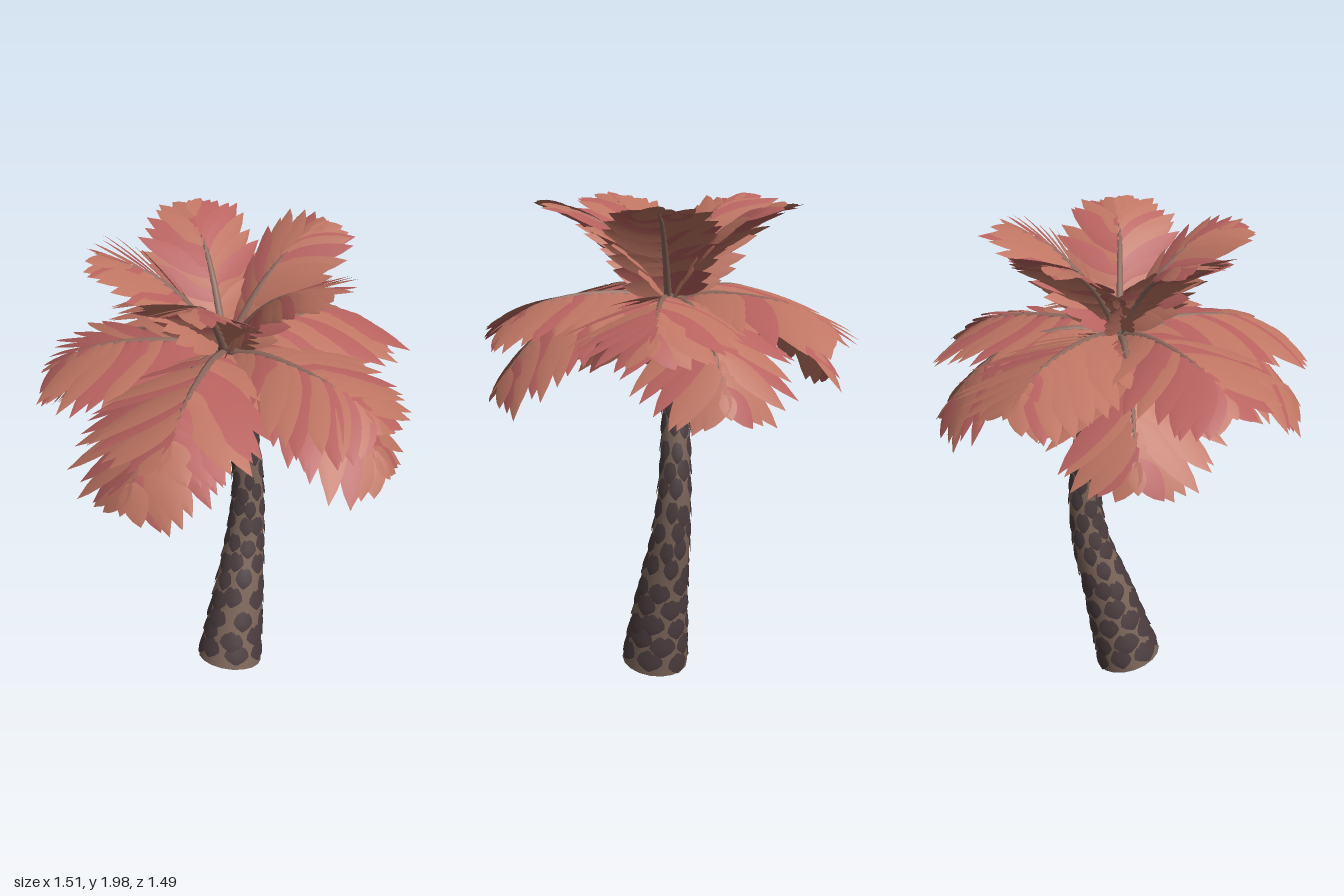
import * as THREE from 'three';
import { mergeGeometries } from 'three/addons/utils/BufferGeometryUtils.js';

const V = (x, y, z = 0) => new THREE.Vector3(x, y, z);
const mat = (color, side = THREE.FrontSide) => new THREE.MeshStandardMaterial({ color, side });
const barkMat = mat(0x7d665a);
const plateMat = mat(0x4b3c3e, THREE.DoubleSide);
const ribMat = mat(0x8f6a5e);
const leafMats = [mat(0xbf7563, THREE.DoubleSide), mat(0xb8625f, THREE.DoubleSide)];

// Seeded noise in the range -1..1
let seed = 7;
const rnd = () => {
  seed = (seed * 16807) % 2147483647;
  return (seed / 2147483647) * 2 - 1;
};

// Piecewise linear lookup over evenly spaced values
function ramp(values, t) {
  const f = Math.min(Math.max(t, 0), 1) * (values.length - 1);
  const i = Math.min(Math.floor(f), values.length - 2);
  return THREE.MathUtils.lerp(values[i], values[i + 1], f - i);
}

// Indexed surface from a point rule; wrap closes it around j
function grid(rows, cols, point, wrap = false) {
  const pos = [], index = [];
  for (let i = 0; i < rows; i++)
    for (let j = 0; j < cols; j++) pos.push(...point(i / (rows - 1), j / (wrap ? cols : cols - 1)).toArray());
  for (let i = 0; i < rows - 1; i++)
    for (let j = 0; j < (wrap ? cols : cols - 1); j++) {
      const k = (j + 1) % cols;
      const a = i * cols + j, b = i * cols + k, c = a + cols, d = b + cols;
      index.push(a, b, c, b, d, c);
    }
  const g = new THREE.BufferGeometry();
  g.setAttribute('position', new THREE.Float32BufferAttribute(pos, 3));
  g.setIndex(index);
  g.computeVertexNormals();
  return g;
}

// Point, tangent, up normal and side axis on a curve
function frame(curve, t) {
  const T = curve.getTangentAt(t);
  const B = V(0, 0, 1).addScaledVector(T, -T.z).normalize();
  return { P: curve.getPointAt(t), T, B, N: B.clone().cross(T) };
}

function onTube(curve, t, angle, r) {
  const { P, N, B } = frame(curve, t);
  return P.addScaledVector(N, r * Math.cos(angle)).addScaledVector(B, r * Math.sin(angle));
}

const taperedTube = (curve, radii, rows, cols) =>
  grid(rows, cols, (t, s) => onTube(curve, t, s * Math.PI * 2, ramp(radii, t)), true);

function addMesh(parent, name, geometry, material) {
  const mesh = new THREE.Mesh(geometry, material);
  mesh.name = name;
  parent.add(mesh);
  return mesh;
}

// Curved trunk with staggered bark plates
function makeTrunk() {
  const trunk = new THREE.Group();
  trunk.name = 'trunk';
  const curve = new THREE.CatmullRomCurve3([
    V(-0.038, 0.04, 0.052), V(0.058, 0.4, 0.035), V(0.115, 0.6, 0.02), V(0.146, 0.82, 0.01),
    V(0.128, 1.13), V(0.1, 1.27), V(0.0, 1.6)]);
  const radii = [0.138, 0.12, 0.102, 0.084, 0.07, 0.062, 0.056, 0.048, 0.043, 0.034];
  addMesh(trunk, 'trunkCore', taperedTube(curve, radii, 40, 18), barkMat);

  const base = frame(curve, 0);
  const cap = addMesh(trunk, 'trunkBase', new THREE.CircleGeometry(radii[0], 18), barkMat);
  cap.position.copy(base.P);
  cap.quaternion.setFromUnitVectors(V(0, 0, 1), base.T.negate());

  const plates = [], rows = 19, perRow = 7;
  for (let i = 0; i < rows; i++)
    for (let k = 0; k < perRow; k++) {
      const a0 = ((k + (i % 2) / 2 + rnd() * 0.2) / perRow) * Math.PI * 2;
      const t0 = (i + 0.15 + rnd() * 0.25) / rows;
      const wide = 0.9 + rnd() * 0.15;
      plates.push(grid(6, 5, (u, s) => {
        const t = Math.min(Math.max(t0 + (u * 1.1) / rows, 0), 1);
        const half = (Math.PI / perRow) * wide * ramp([0.1, 0.65, 1, 0.95, 0.75, 0.35], u);
        const lift = ramp([0.004, 0.006, 0.005, 0.003, 0.001, -0.002], u);
        return onTube(curve, t, a0 + (s * 2 - 1) * half, ramp(radii, t) + lift);
      }));
    }
  addMesh(trunk, 'barkPlates', mergeGeometries(plates), plateMat);
  return trunk;
}

// One pointed leaflet, folded slightly along its middle and curling down
function makeLeaflet(base, dir, normal, length, half, curl) {
  const W = normal.clone().cross(dir).addScaledVector(normal, 0.15).normalize();
  return grid(7, 3, (u, s) => {
    const v = s * 2 - 1;
    const w = half * ramp([0.35, 0.8, 1, 0.97, 0.8, 0.5, 0], u);
    return base.clone()
      .addScaledVector(dir, length * u)
      .addScaledVector(W, v * w)
      .addScaledVector(normal, -curl * length * u * u - Math.abs(v) * w * 0.12);
  });
}

// Frond reaching out along +x: arched rib and two rows of overlapping, drooping leaflets
function makeFrond(name, { rib, size, half, droop, curl, sweep, count }) {
  const frond = new THREE.Group();
  frond.name = name;
  const curve = new THREE.CatmullRomCurve3(rib.map(([x, y]) => V(x, y)));
  const ribMesh = addMesh(frond, 'rib', taperedTube(curve, [0.018, 0.015, 0.011, 0.004], 14, 6), ribMat);
  ribMesh.position.y = -0.008;

  const tones = [[], []];
  for (let i = 0; i < count; i++) {
    const t = 0.1 + (0.87 * i) / (count - 1);
    const { P, T, N, B } = frame(curve, t);
    for (const side of [-1, 1]) {
      const a = THREE.MathUtils.lerp(sweep[0], sweep[1], t) + rnd() * 0.06;
      const d = droop + rnd() * 0.06;
      const across = B.clone().multiplyScalar(side * Math.cos(d)).addScaledVector(N, -Math.sin(d));
      const dir = T.clone().multiplyScalar(Math.cos(a)).addScaledVector(across, Math.sin(a));
      const normal = N.clone().multiplyScalar(Math.cos(d)).addScaledVector(B, side * Math.sin(d));
      const length = size * ramp([0.45, 0.75, 1, 1, 0.8, 0.35], t) * (1 + rnd() * 0.07);
      tones[rnd() > 0.3 ? 1 : 0].push(makeLeaflet(P, dir, normal, length, half, curl));
    }
  }
  // End leaflet
  const end = frame(curve, 1);
  tones[0].push(makeLeaflet(end.P, end.T, end.N, size * 0.25, half * 0.6, curl));
  tones.forEach((list, i) => list.length && addMesh(frond, 'leaflets', mergeGeometries(list), leafMats[i]));
  return frond;
}

// Three tiers of fronds, each spread evenly around the crown
const tiers = [
  { name: 'lowerFrond', number: 4, start: -5, size: 0.43, half: 0.055, droop: 0.27, curl: 0.12,
    sweep: [1.35, 0.6], count: 13,
    rib: [[0, 1.56], [0.17, 1.605], [0.37, 1.565], [0.56, 1.45], [0.685, 1.31]] },
  { name: 'middleFrond', number: 5, start: 90, size: 0.42, half: 0.055, droop: 0.18, curl: 0.13,
    sweep: [1.35, 0.6], count: 13,
    rib: [[0, 1.57], [0.17, 1.615], [0.4, 1.61], [0.55, 1.575], [0.65, 1.52]] },
  { name: 'upperFrond', number: 5, start: 90, size: 0.32, half: 0.043, droop: 0.22, curl: 0.1,
    sweep: [1.2, 0.45], count: 12,
    rib: [[0, 1.57], [0.07, 1.68], [0.17, 1.81], [0.29, 1.91], [0.42, 1.965]] },
];

export function createModel() {
  const palm = new THREE.Group();
  palm.name = 'palmTree';
  palm.add(makeTrunk());
  for (const tier of tiers)
    for (let i = 0; i < tier.number; i++) {
      const frond = makeFrond(tier.name, tier);
      frond.rotation.y = -THREE.MathUtils.degToRad(tier.start + (360 / tier.number) * i);
      palm.add(frond);
    }
  return palm;
}
